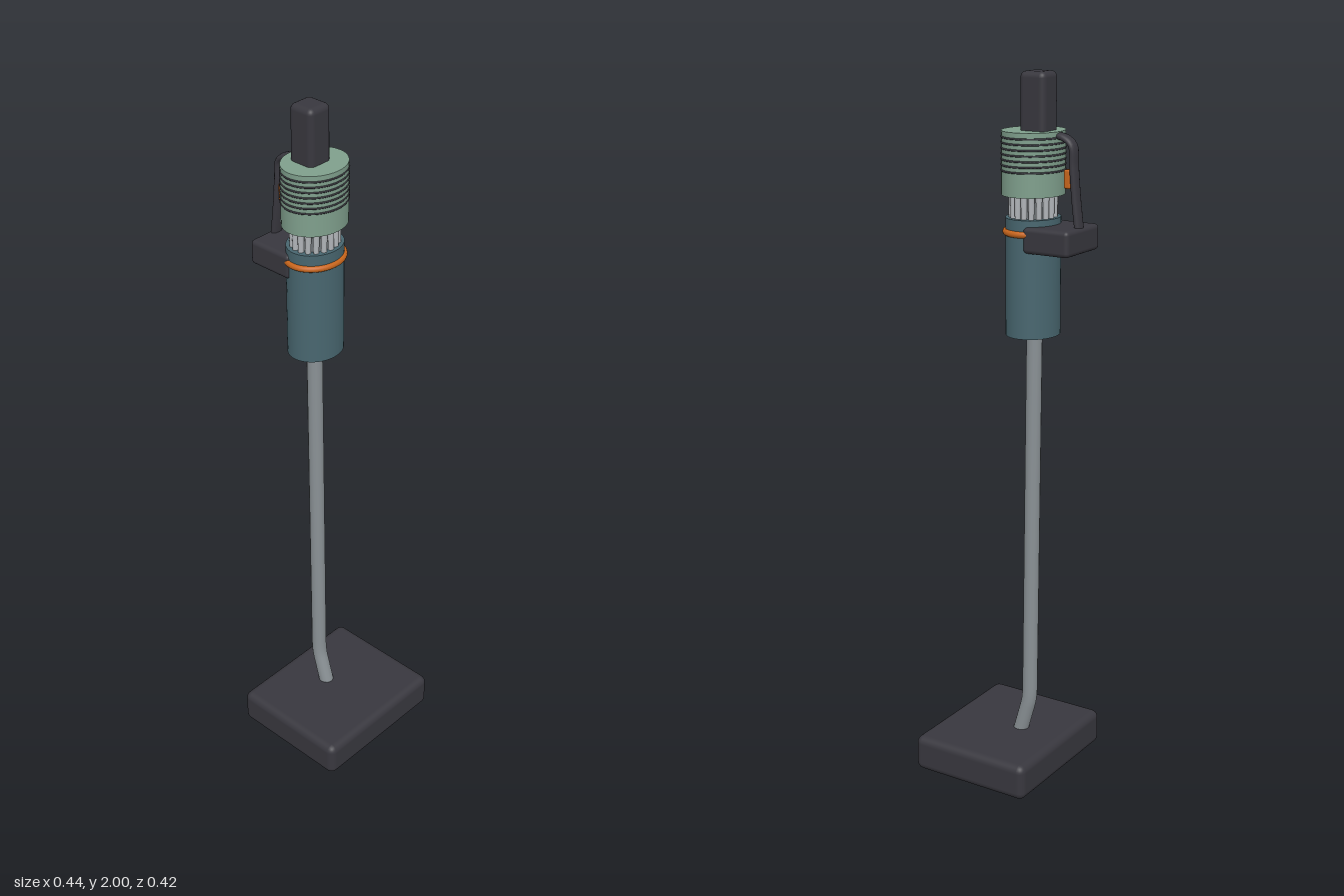
import * as THREE from 'three';
import { RoundedBoxGeometry } from 'three/addons/geometries/RoundedBoxGeometry.js';

const paint = (name, color) => {
  const m = new THREE.MeshStandardMaterial({ color });
  m.name = name;
  return m;
};

export function createModel() {
  const charcoal = paint('charcoal plastic', 0x38373e);
  const teal = paint('teal shell', 0x48666f);
  const green = paint('sage green', 0x7f9f8c);
  const orange = paint('orange accent', 0xc9661c);
  const steel = paint('steel tube', 0x8a9195);
  const silver = paint('silver', 0xb2b6ba);

  const model = new THREE.Group();
  model.name = 'stickVacuum';
  const add = (name, geo, mat, x, y, z, parent = model) => {
    const mesh = new THREE.Mesh(geo, mat);
    mesh.name = name;
    mesh.position.set(x, y, z);
    parent.add(mesh);
    return mesh;
  };

  // Floor head
  add('floorHead', new RoundedBoxGeometry(0.44, 0.105, 0.37, 3, 0.022), charcoal, 0, 0.0525, 0.025);

  // Wand, bent just above the floor head
  const wand = new THREE.CurvePath();
  const v = (y, z) => new THREE.Vector3(0, y, z);
  wand.add(new THREE.LineCurve3(v(0.08, -0.012), v(0.19, -0.043)));
  wand.add(new THREE.QuadraticBezierCurve3(v(0.19, -0.043), v(0.21, -0.048), v(0.24, -0.0485)));
  wand.add(new THREE.LineCurve3(v(0.24, -0.0485), v(1.32, -0.06)));
  add('wand', new THREE.TubeGeometry(wand, 80, 0.022, 14), steel, 0, 0, 0);

  // Oval motor column: round parts squashed along z
  const column = new THREE.Group();
  column.name = 'motorColumn';
  column.position.z = -0.055;
  column.scale.z = 0.87;
  model.add(column);
  const drum = (name, r, y0, y1, mat) =>
    add(name, new THREE.CylinderGeometry(r, r, y1 - y0, 40), mat, 0, (y0 + y1) / 2, 0, column);

  drum('dustBin', 0.082, 1.3, 1.62, teal);
  drum('cycloneCore', 0.058, 1.61, 1.69, steel);
  drum('filterHousing', 0.094, 1.68, 1.848, green);

  // Orange seal around the bin
  const seal = add('binSeal', new THREE.TorusGeometry(0.082, 0.009, 10, 48), orange, 0, 1.582, 0, column);
  seal.rotation.x = Math.PI / 2;

  // Ring of cyclone tubes
  const count = 18;
  for (let i = 0; i < count; i++) {
    const a = (i / count) * Math.PI * 2;
    add('cycloneTube', new THREE.CylinderGeometry(0.01, 0.008, 0.08, 10), silver,
      Math.sin(a) * 0.064, 1.65, Math.cos(a) * 0.064, column);
  }

  // Vent grooves on the filter housing
  for (let i = 0; i < 7; i++) {
    const groove = add('ventRing', new THREE.TorusGeometry(0.0935, 0.0028, 6, 48), charcoal,
      0, 1.745 + i * 0.0145, 0, column);
    groove.rotation.x = Math.PI / 2;
  }

  // Top cap block
  add('topBlock', new RoundedBoxGeometry(0.076, 0.17, 0.078, 3, 0.016), charcoal, 0, 1.915, -0.07);

  // Rear grip, wider than deep
  const gripPath = new THREE.CatmullRomCurve3([
    v(1.838, -0.115), v(1.833, -0.15), v(1.815, -0.174), v(1.76, -0.179), v(1.68, -0.186), v(1.59, -0.197),
  ]);
  const grip = add('grip', new THREE.TubeGeometry(gripPath, 40, 0.01, 12), charcoal, 0, 0, 0);
  grip.scale.x = 1.9;

  // Trigger on the inner face of the grip
  add('trigger', new RoundedBoxGeometry(0.026, 0.05, 0.02, 2, 0.005), orange, 0, 1.727, -0.164);

  // Battery pack
  add('battery', new RoundedBoxGeometry(0.168, 0.07, 0.14, 3, 0.012), charcoal, 0, 1.568, -0.141);

  return model;
}
